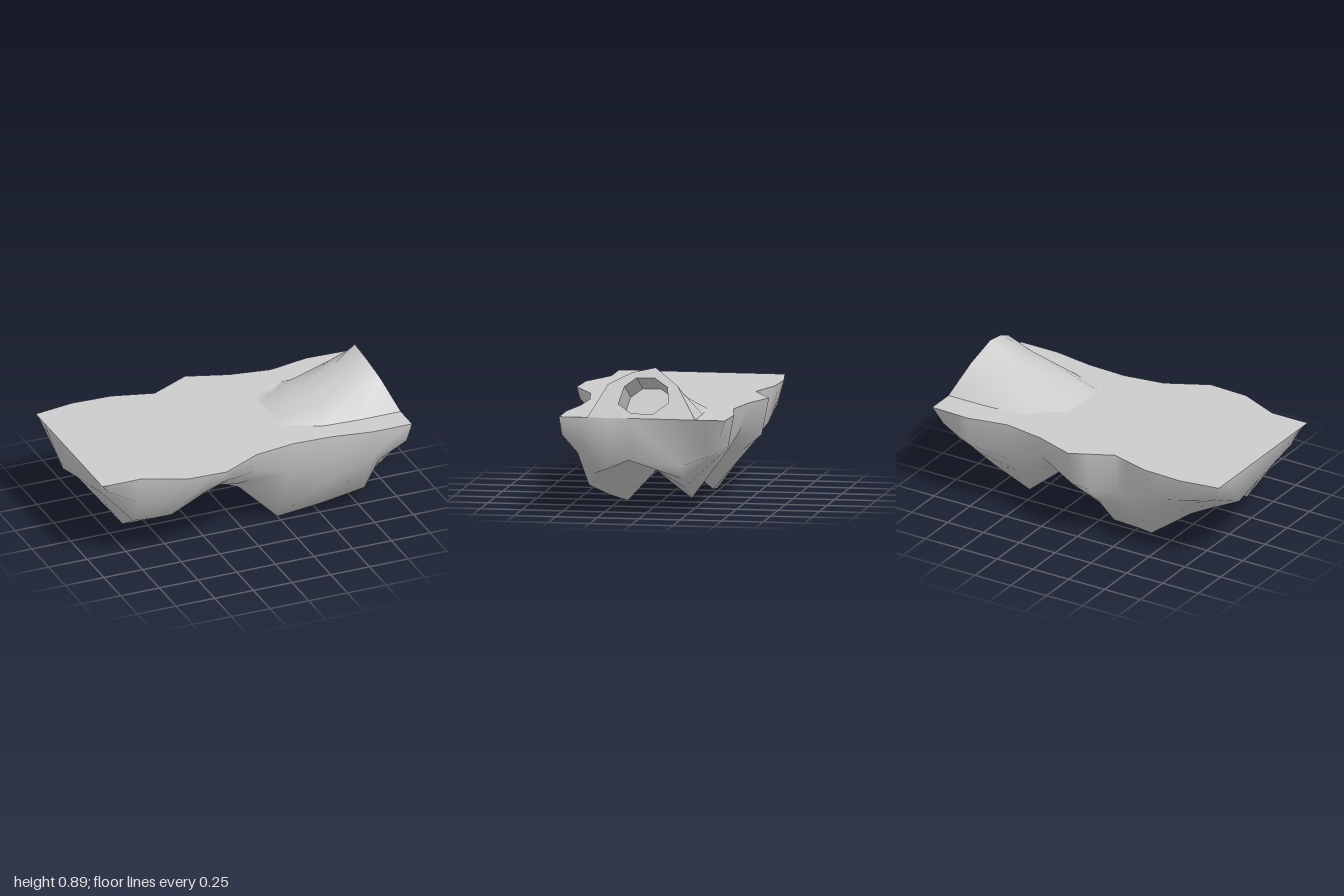
import * as THREE from 'three';

const TOP = 0.6;
const material = new THREE.MeshStandardMaterial({ color: 0xcccccc });

// Rim outline, sampled every quarter unit along x
const RIM_FRONT = [0.48, 0.48, 0.59, 0.6, 0.47, 0.43, 0.44, 0.48, 0.48];
const RIM_BACK = [-0.52, -0.56, -0.55, -0.48, -0.605, -0.52, -0.48, -0.53, -0.52];

// Underside stations: x, front flank z y, front ridge z y, valley z y, back ridge z y
const STATIONS = [
  [-1, 0.36, 0.6, 0.2, 0.6, 0, 0.6, -0.23, 0.6],
  [-0.955, 0.37, 0.49, 0.2, 0.46, 0, 0.42, -0.22, 0.37],
  [-0.75, 0.355, 0.26, 0.2, 0.16, 0, 0.3, -0.23, 0.27],
  [-0.62, 0.36, 0.25, 0.2, 0.2, 0.03, 0.3, -0.23, 0.2],
  [-0.5, 0.36, 0.25, 0.22, 0.26, 0.06, 0.3, -0.23, 0.11],
  [-0.35, 0.42, 0.37, 0.23, 0.35, 0.07, 0.33, -0.23, 0],
  [-0.25, 0.49, 0.46, 0.23, 0.37, 0.07, 0.34, -0.23, 0.01],
  [-0.1, 0.4, 0.39, 0.22, 0.3, 0.03, 0.29, -0.25, 0.03],
  [0, 0.34, 0.36, 0.2, 0.25, -0.01, 0.25, -0.24, 0.11],
  [0.25, 0.315, 0.21, 0.2, 0, -0.02, 0.24, -0.23, 0.27],
  [0.5, 0.36, 0.25, 0.27, 0.07, 0.03, 0.32, -0.23, 0.06],
  [0.75, 0.42, 0.36, 0.345, 0.16, 0.06, 0.35, -0.23, 0.16],
  [0.82, 0.4, 0.36, 0.3, 0.24, 0.06, 0.35, -0.23, 0.22],
];

// Last low row of the underside beneath the tunnel end, front to back
const END_ROW = [
  [1, 0.6, 0.48], [0.97, 0.49, 0.47], [0.96, 0.42, 0.35], [1, 0.29, 0.2], [1, 0.35, 0.06],
  [0.88, 0.3, -0.23], [0.88, 0.37, -0.4], [0.95, 0.49, -0.48], [1, 0.6, -0.52],
];

// Mound face outline and tunnel mouth, as z y pairs
const FACE = [[0.31, 0.6], [0.2, 0.79], [0.06, 0.86], [-0.08, 0.89], [-0.22, 0.79], [-0.34, 0.6]];
const MOUTH = [[0.1, 0.78], [0.03, 0.83], [-0.08, 0.83], [-0.16, 0.78],
  [-0.17, 0.69], [-0.08, 0.625], [0.05, 0.63], [0.13, 0.68]];

const lerp = THREE.MathUtils.lerp;
const slantX = (y) => 1 - (y - TOP) * 0.45;

function rimAt(rim, x) {
  const f = (x + 1) * 4;
  const i = Math.min(7, Math.floor(f));
  return lerp(rim[i], rim[i + 1], f - i);
}

// Skin joining equal-length rows of points
function loft(rows, closed = false, flat = false) {
  const n = rows[0].length;
  const index = [];
  for (let i = 0; i < rows.length - 1; i++) {
    for (let j = 0; j < (closed ? n : n - 1); j++) {
      const k = (j + 1) % n;
      const a = i * n + j, b = a + n, c = i * n + k, d = c + n;
      index.push(a, c, b, b, c, d);
    }
  }
  let geo = new THREE.BufferGeometry();
  geo.setAttribute('position', new THREE.Float32BufferAttribute(rows.flat(2), 3));
  geo.setIndex(index);
  if (flat) geo = geo.toNonIndexed();
  geo.computeVertexNormals();
  return geo;
}

// Filled outline, moved into place by a rule on its 2D coordinates
function panel(outline, hole, place) {
  const shape = new THREE.Shape(outline.map(([u, v]) => new THREE.Vector2(u, v)));
  if (hole) shape.holes.push(new THREE.Path(hole.map(([u, v]) => new THREE.Vector2(u, v))));
  const geo = new THREE.ShapeGeometry(shape);
  const pos = geo.attributes.position;
  for (let i = 0; i < pos.count; i++) pos.setXYZ(i, ...place(pos.getX(i), pos.getY(i)));
  geo.computeVertexNormals();
  return geo;
}

// Cross-section of the rock from front rim to back rim
function section([x, mz, my, fz, fy, vz, vy, bz, by]) {
  const front = rimAt(RIM_FRONT, x), back = rimAt(RIM_BACK, x);
  const flank = (z, y, rim, t, f) => [x, lerp(y, TOP, f), lerp(z, rim, t)];
  return [
    [x, TOP, front],
    flank(mz, my, front, 0.82, 0.5),
    [x, my, mz], [x, fy, fz], [x, vy, vz], [x, by, bz],
    flank(bz, by, back, 0.58, 0.36), flank(bz, by, back, 0.88, 0.55),
    [x, TOP, back],
  ];
}

export function createModel() {
  const group = new THREE.Group();
  const add = (name, geo) => {
    const mesh = new THREE.Mesh(geo, material);
    mesh.name = name;
    group.add(mesh);
  };
  const flip = (points) => points.map(([z, y]) => [-z, y]);

  // Rocky underside, curving up to the rim at both ends
  const sections = [...STATIONS.map(section), END_ROW];
  add('underside', loft([...sections, END_ROW.map(([, , z]) => [1, TOP, z])]));

  // Flat top, left open beneath the mound
  const rim = [
    ...sections.map((s) => [s[0][0], -s[0][2]]),
    ...sections.map((s) => [s[8][0], -s[8][2]]).reverse(),
  ];
  const opening = [[0.6, -0.2], [0.985, -0.2], [0.985, 0.2], [0.6, 0.2]];
  add('topGround', panel(rim, opening, (u, v) => [u, TOP, -v]));

  // Mound rising from the ground towards the slanted face
  const rings = [[0.75, 1, 0.67], [0.5, 0.95, 0.31], [0.28, 0.6, 0]].map(([x, width, height]) =>
    FACE.map(([z, y]) => [x, TOP + (y - TOP) * height, z * width]));
  add('mound', loft([FACE.map(([z, y]) => [slantX(y), y, z]), ...rings]));
  add('moundFace', panel(flip(FACE), flip(MOUTH), (u, v) => [slantX(v), v, -u]));

  // Tunnel sunk square to the face
  const dx = -0.21, dy = -0.095;
  const mouth = MOUTH.map(([z, y]) => [slantX(y), y, z]);
  const inner = mouth.map(([x, y, z]) => [x + dx, y + dy, z]);
  add('tunnelWall', loft([inner, mouth], true, true));
  add('tunnelBack', panel(flip(MOUTH), null, (u, v) => [slantX(v) + dx, v + dy, -u]));

  return group;
}
